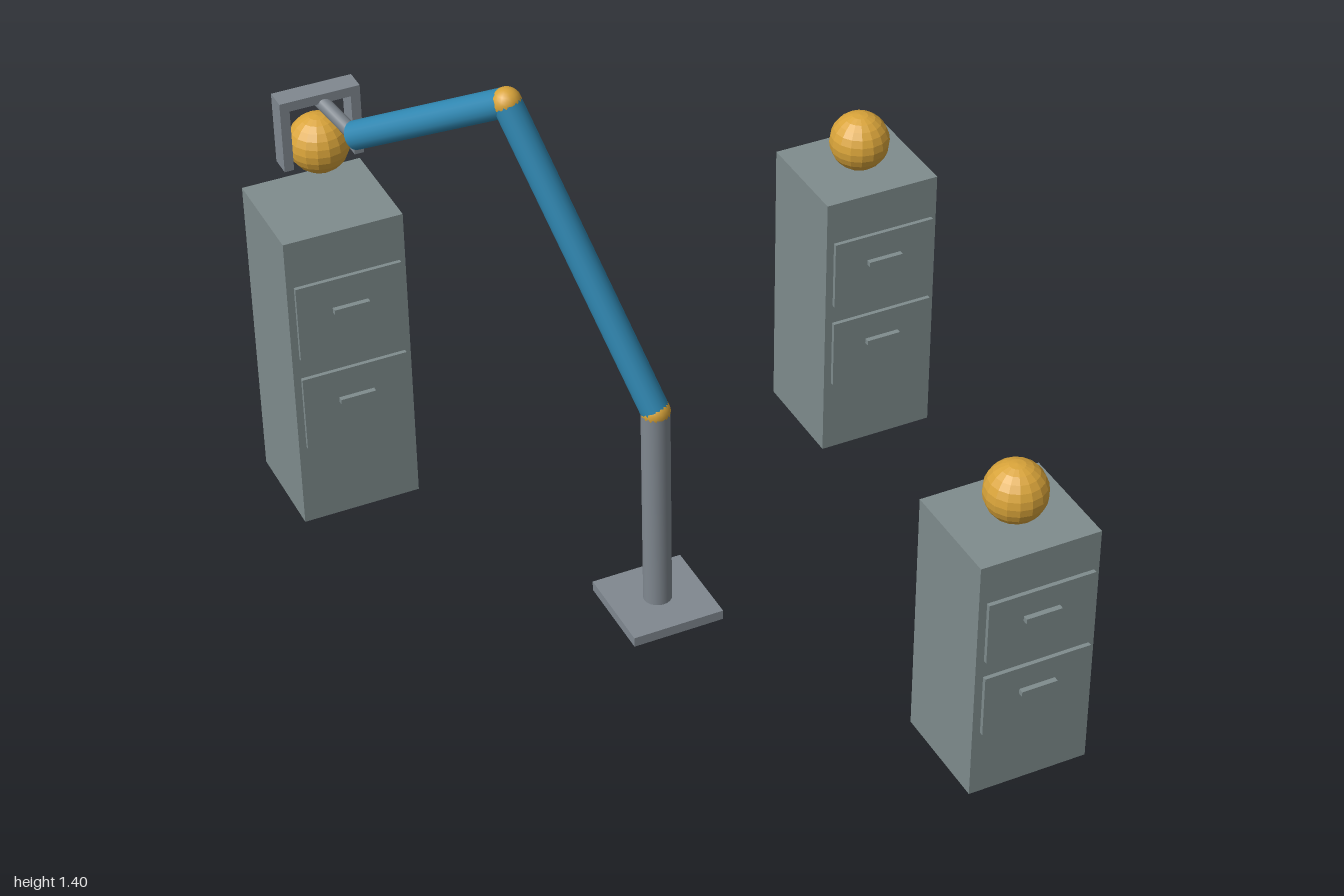
import * as THREE from 'three';

const mat = (name, color) => {
  const m = new THREE.MeshStandardMaterial({ color });
  m.name = name;
  return m;
};

export function createModel() {
  const grey = mat('cabinetGrey', 0x7f8c8d);
  const steel = mat('steelGrey', 0x808890);
  const blue = mat('armBlue', 0x2f86b0);
  const gold = mat('gold', 0xd9a43a);

  const root = new THREE.Group();
  root.name = 'robotArmWithCabinets';

  const add = (parent, name, geometry, material, x, y, z) => {
    const mesh = new THREE.Mesh(geometry, material);
    mesh.name = name;
    mesh.position.set(x, y, z);
    parent.add(mesh);
    return mesh;
  };
  const box = (parent, name, material, w, h, d, x, y, z) =>
    add(parent, name, new THREE.BoxGeometry(w, h, d), material, x, y, z);

  // faceted ball
  const ballGeometry = new THREE.SphereGeometry(0.079, 16, 12).toNonIndexed();
  ballGeometry.computeVertexNormals();
  const ball = (parent, x, y, z) => add(parent, 'ball', ballGeometry, gold, x, y, z);

  // round bar between two points
  const bar = (parent, name, material, a, b, r) => {
    const dir = b.clone().sub(a);
    const mid = a.clone().add(b).multiplyScalar(0.5);
    const mesh = add(parent, name, new THREE.CylinderGeometry(r, r, dir.length(), 20), material, mid.x, mid.y, mid.z);
    mesh.quaternion.setFromUnitVectors(new THREE.Vector3(0, 1, 0), dir.normalize());
    return mesh;
  };

  // filing cabinets: two drawers with handles on the front
  const W = 0.32, D = 0.29;
  const cabinet = (name, x, z, h) => {
    const g = new THREE.Group();
    g.name = name;
    g.position.set(x, 0, z);
    box(g, 'cabinetBody', grey, W, h, D, 0, h / 2, 0);
    for (const level of [0.405, 0.726]) {
      box(g, 'drawerFront', grey, W * 0.89, h * 0.25, 0.011, 0, h * level, D / 2 + 0.0115);
      box(g, 'drawerHandle', grey, W * 0.3, 0.014, 0.014, 0, h * (level + 0.022), D / 2 + 0.024);
    }
    root.add(g);
  };
  cabinet('tallCabinet', -0.681, -0.855, 0.87);
  cabinet('middleCabinet', 0.677, -0.54, 0.777);
  cabinet('shortCabinet', 0.361, 0.822, 0.687);

  // balls on the cabinets and in the gripper
  ball(root, 0.677, 0.858, -0.527);
  ball(root, 0.364, 0.767, 0.835);
  ball(root, -0.682, 1.053, -0.843);

  // arm: base plate, post, two links with joints
  const arm = new THREE.Group();
  arm.name = 'robotArm';
  root.add(arm);
  const shoulder = new THREE.Vector3(-0.16, 0.61, 0);
  const elbow = new THREE.Vector3(-0.377, 1.36, -0.35);
  const wrist = new THREE.Vector3(-0.622, 1.113, -0.742);
  const hand = new THREE.Vector3(-0.681, 1.188, -0.84);
  box(arm, 'basePlate', steel, 0.247, 0.027, 0.25, -0.16, 0.0135, 0);
  bar(arm, 'post', steel, new THREE.Vector3(-0.16, 0.02, 0), shoulder, 0.037);
  bar(arm, 'upperArm', blue, shoulder, elbow, 0.037);
  bar(arm, 'forearm', blue, elbow, wrist, 0.037);
  bar(arm, 'wristRod', steel, wrist, hand, 0.019);
  for (const p of [shoulder, elbow])
    add(arm, 'joint', new THREE.SphereGeometry(0.038, 16, 12), gold, p.x, p.y, p.z);

  // gripper: top bar with two fingers
  const gripper = new THREE.Group();
  gripper.name = 'gripper';
  gripper.position.set(-0.681, 0, -0.842);
  box(gripper, 'gripperBar', steel, 0.211, 0.026, 0.058, 0, 1.193, 0);
  for (const s of [-1, 1])
    box(gripper, 'gripperFinger', steel, 0.025, 0.18, 0.058, s * 0.093, 1.1, 0);
  arm.add(gripper);

  return root;
}
